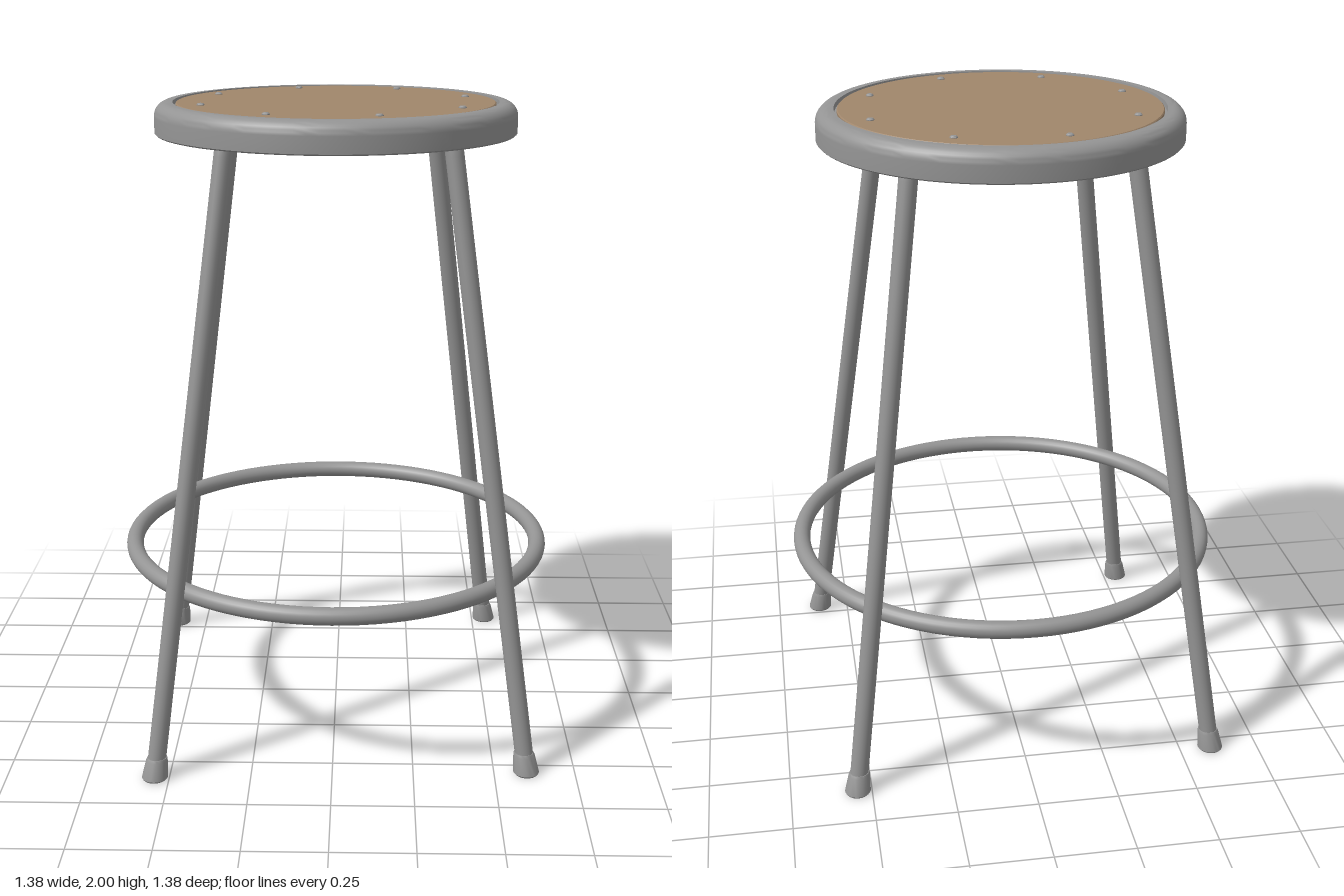
import * as THREE from 'three';
import { toCreasedNormals } from 'three/addons/utils/BufferGeometryUtils.js';

const LEG_ANGLE = 0.737;   // turn of the first leg from +x towards +z
const FOOT_RADIUS = 0.81;  // distance of the feet from the centre
const SLOPE = 0.18;        // inward lean per unit of height
const BAR_Y = 1.949;       // height of the crossbars under the seat

// Revolved solid with crisp edges; the profile runs from underside to top
function lathe(profile, segments) {
  const points = profile.map(([r, y]) => new THREE.Vector2(r, y));
  return toCreasedNormals(new THREE.LatheGeometry(points, segments), 0.6);
}

// Point on a leg's centre line in the XY plane
function legPoint(side, y) {
  return new THREE.Vector3(side * (FOOT_RADIUS - SLOPE * y), y, 0);
}

// One bent tube makes two opposite legs and the bar between them
function legPairGeometry() {
  const bend = 0.07;
  const path = new THREE.CurvePath();
  const corner = side => legPoint(side, BAR_Y);
  const below = side => legPoint(side, BAR_Y - bend);
  const inner = side => corner(side).setX(side * (corner(1).x - bend));
  path.add(new THREE.LineCurve3(legPoint(-1, 0.02), below(-1)));
  path.add(new THREE.QuadraticBezierCurve3(below(-1), corner(-1), inner(-1)));
  path.add(new THREE.LineCurve3(inner(-1), inner(1)));
  path.add(new THREE.QuadraticBezierCurve3(inner(1), corner(1), below(1)));
  path.add(new THREE.LineCurve3(below(1), legPoint(1, 0.02)));
  return new THREE.TubeGeometry(path, 240, 0.028, 20, false);
}

// Foot cap: flat on the floor, sheared to follow the leaning leg
function footGeometry() {
  const geometry = new THREE.LatheGeometry([
    [0, 0], [0.036, 0], [0.04, 0.005], [0.033, 0.06], [0.03, 0.068], [0, 0.068],
  ].map(([r, y]) => new THREE.Vector2(r, y)), 24);
  const p = geometry.attributes.position;
  for (let i = 0; i < p.count; i++) {
    p.setX(i, p.getX(i) + FOOT_RADIUS - SLOPE * p.getY(i));
  }
  return toCreasedNormals(geometry, 0.6);
}

// Hollow seat pan with a rounded rim and a recess for the board
function seatPanGeometry() {
  const arc = (cx, cy, r, from, to) => Array.from({ length: 9 }, (_, i) => {
    const a = from + (to - from) * i / 8;
    return [cx + r * Math.cos(a), cy + r * Math.sin(a)];
  });
  return lathe([
    [0, 1.976], [0.497, 1.976],
    ...arc(0.515, 1.952, 0.028, Math.PI / 2, 0),
    [0.543, 1.902], [0.546, 1.9], [0.552, 1.9], [0.556, 1.904],
    ...arc(0.515, 1.954, 0.041, 0, Math.PI / 2),
    [0.499, 1.995], [0.497, 1.981], [0, 1.981],
  ], 96);
}

export function createModel() {
  const steel = new THREE.MeshStandardMaterial({ color: 0x949494 });
  steel.name = 'grey steel';
  const wood = new THREE.MeshStandardMaterial({ color: 0xa0866b });
  wood.name = 'brown board';

  const stool = new THREE.Group();
  stool.name = 'stool';
  const add = (name, geometry, material) => {
    const mesh = new THREE.Mesh(geometry, material);
    mesh.name = name;
    stool.add(mesh);
    return mesh;
  };

  // Seat
  add('seatPan', seatPanGeometry(), steel);
  add('seatBoard', lathe([[0, 1.98], [0.49, 1.98], [0.49, 1.99], [0.487, 1.993], [0, 1.993]], 96), wood);

  // Rivets through the board, with heads above and below
  const rivet = lathe([
    [0, 1.969], [0.009, 1.971], [0.012, 1.976], [0.012, 1.995], [0.008, 1.999], [0, 2],
  ], 16);
  for (let i = 0; i < 8; i++) {
    const a = 0.47 + i * Math.PI / 4;
    add('rivet', rivet, steel).position.set(0.423 * Math.cos(a), 0, 0.423 * Math.sin(a));
  }

  // Legs and feet
  const legPair = legPairGeometry();
  const foot = footGeometry();
  for (let i = 0; i < 4; i++) {
    const turn = -LEG_ANGLE - i * Math.PI / 2;
    if (i < 2) add('legPair', legPair, steel).rotation.y = turn;
    add('foot', foot, steel).rotation.y = turn;
  }

  // Footrest ring
  const ring = add('footRing', new THREE.TorusGeometry(0.662, 0.027, 20, 96), steel);
  ring.rotation.x = Math.PI / 2;
  ring.position.y = 0.573;

  return stool;
}
